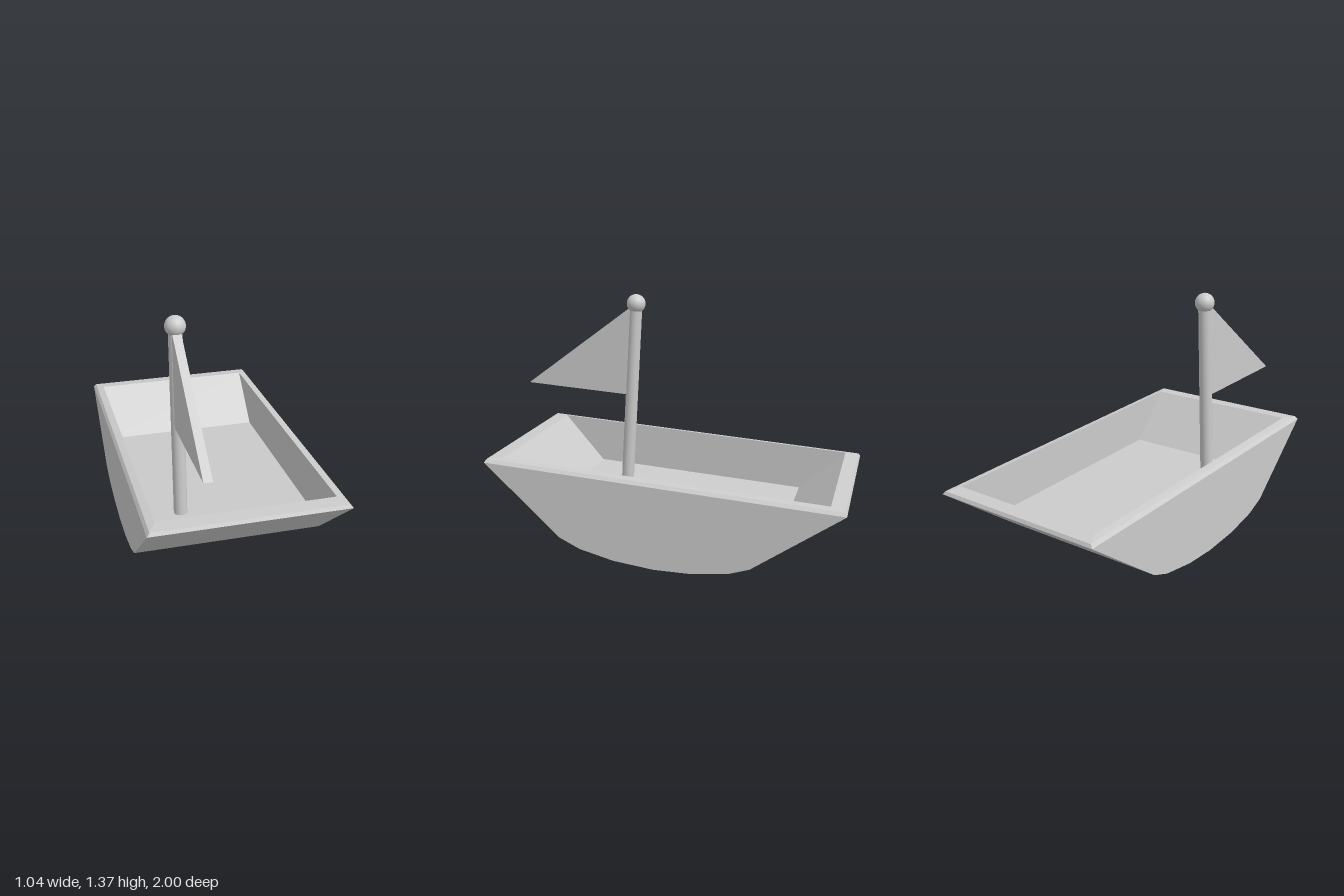
import * as THREE from 'three';

const HALF = 0.52; // hull half width
const MAST_X = -0.234;

function quadGeometry(quads) {
  const pos = [];
  for (const [a, b, c, d] of quads) pos.push(...a, ...b, ...c, ...a, ...c, ...d);
  const g = new THREE.BufferGeometry();
  g.setAttribute('position', new THREE.Float32BufferAttribute(pos, 3));
  g.computeVertexNormals();
  return g;
}

// Rectangular loop, counter-clockwise from above, with its own front and back height
const loop = (w, zf, yf, zb, yb) => [[w, yf, zf], [w, yb, zb], [-w, yb, zb], [-w, yf, zf]];

// Walls between successive loops
function loft(loops) {
  const quads = [];
  for (let k = 0; k + 1 < loops.length; k++)
    for (let i = 0; i < 4; i++) {
      const j = (i + 1) % 4;
      quads.push([loops[k][i], loops[k][j], loops[k + 1][j], loops[k + 1][i]]);
    }
  return quads;
}

export function createModel() {
  const model = new THREE.Group();
  const flat = new THREE.MeshStandardMaterial({ color: 0xcccccc, flatShading: true, side: THREE.DoubleSide });
  const smooth = new THREE.MeshStandardMaterial({ color: 0xcccccc });
  const add = (name, geometry, material) => {
    const mesh = new THREE.Mesh(geometry, material);
    mesh.name = name;
    model.add(mesh);
    return mesh;
  };

  // Hull: side profile as [z, y], from bow tip under the keel to stern tip
  const profile = [[0.957, 0.524], [0.53, 0.13], [0.415, 0.076], [0.225, 0.029], [0, 0.003],
    [-0.2, 0.003], [-0.41, 0.029], [-0.52, 0.066], [-1, 0.403]];
  const at = (x, [z, y]) => [x, y, z];
  const bottom = [];
  for (let i = 0; i + 1 < profile.length; i++) {
    const [p, q] = [profile[i], profile[i + 1]];
    bottom.push([at(HALF, p), at(-HALF, p), at(-HALF, q), at(HALF, q)]);
  }
  add('hullBottom', quadGeometry(bottom), flat);

  // Flat hull sides
  const outline = new THREE.Shape(profile.map(([z, y]) => new THREE.Vector2(z, y)));
  for (const s of [-1, 1]) {
    const side = new THREE.ShapeGeometry(outline).rotateY(-Math.PI / 2).translate(s * HALF, 0, 0);
    if (s > 0) {
      const idx = side.index.array;
      for (let i = 0; i < idx.length; i += 3) [idx[i], idx[i + 1]] = [idx[i + 1], idx[i]];
      side.computeVertexNormals();
    }
    add(s > 0 ? 'leftSide' : 'rightSide', side, flat);
  }

  // Bevelled rim, inner walls and sloping floor
  const outer = loop(HALF, 0.957, 0.524, -1, 0.403);
  const bevel = loop(0.505, 0.947, 0.541, -0.991, 0.421);
  const inner = loop(0.465, 0.865, 0.543, -0.915, 0.432);
  const floor = loop(0.465, 0.625, 0.265, -0.645, 0.187);
  add('rim', quadGeometry(loft([outer, bevel, inner])), flat);
  add('innerWalls', quadGeometry(loft([inner, floor])), flat);
  add('floor', quadGeometry([floor]), flat);

  // Mast, leaning square to the deck
  const foot = new THREE.Vector3(MAST_X, 0.24, 0.382);
  const top = new THREE.Vector3(MAST_X, 1.3, 0.316);
  const dir = top.clone().sub(foot);
  const mast = add('mast', new THREE.CylinderGeometry(0.037, 0.037, dir.length(), 32), smooth);
  mast.position.copy(foot).lerp(top, 0.5);
  mast.quaternion.setFromUnitVectors(new THREE.Vector3(0, 1, 0), dir.normalize());

  // Ball on the mast
  add('mastBall', new THREE.SphereGeometry(0.055, 32, 20), smooth).position.set(MAST_X, 1.314, 0.315);

  // Triangular sail
  const sailShape = new THREE.Shape([[0.35, 0.77], [1, 0.81], [0.322, 1.31]].map(p => new THREE.Vector2(...p)));
  const sail = new THREE.ExtrudeGeometry(sailShape, { depth: 0.046, bevelEnabled: false });
  sail.rotateY(-Math.PI / 2).translate(MAST_X + 0.023, 0, 0);
  add('sail', sail, flat);

  return model;
}
